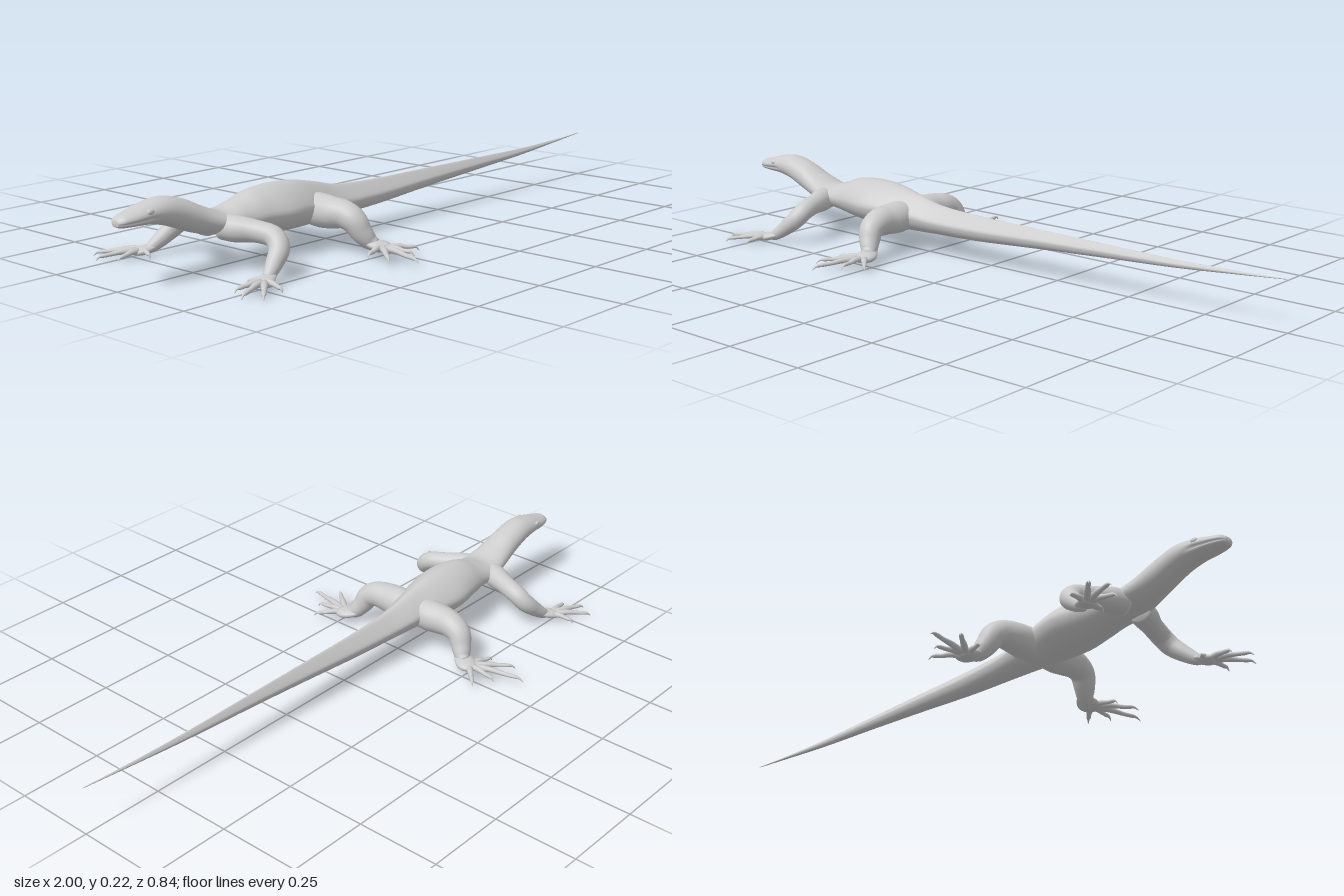
import * as THREE from 'three';

const skin = new THREE.MeshStandardMaterial({ color: 0xcccccc, side: THREE.DoubleSide });

// Smooth interpolation of rows of numbers, t from 0 to 1
function sample(rows, t) {
  const f = t * (rows.length - 1);
  const i = Math.min(Math.floor(f), rows.length - 2);
  const u = f - i;
  const row = (k) => rows[Math.max(0, Math.min(rows.length - 1, k))];
  return rows[0].map((_, c) => {
    const a = row(i - 1)[c], b = row(i)[c], d = row(i + 1)[c], e = row(i + 2)[c];
    const m = (d - a) / 2, n = (e - b) / 2;
    return b + u * (m + u * (3 * (d - b) - 2 * m - n + u * (2 * (b - d) + m + n)));
  });
}

// Skin over closed rings of equal point count
function loft(rings, name) {
  const n = rings[0].length, index = [];
  for (let i = 0; i < rings.length - 1; i++) {
    for (let j = 0; j < n; j++) {
      const a = i * n + j, b = i * n + (j + 1) % n;
      index.push(a, b, a + n, b, b + n, a + n);
    }
  }
  const geo = new THREE.BufferGeometry().setFromPoints(rings.flat());
  geo.setIndex(index);
  geo.computeVertexNormals();
  const mesh = new THREE.Mesh(geo, skin);
  mesh.name = name;
  return mesh;
}

// Tapered round limb through rows of [x, y, z, radius]
function limb(rows, name, up, steps, sides, flat = 1) {
  const rings = [];
  for (let i = 0; i <= steps; i++) {
    const t = i / steps;
    const [x, y, z, rad] = sample(rows, t);
    const r = i === 0 || i === steps ? 0 : Math.max(rad, 0.0008);
    const p = sample(rows, Math.max(0, t - 0.01)), q = sample(rows, Math.min(1, t + 0.01));
    const T = new THREE.Vector3(q[0] - p[0], q[1] - p[1], q[2] - p[2]).normalize();
    const N = up.clone().addScaledVector(T, -up.dot(T)).normalize();
    const B = T.clone().cross(N);
    rings.push(Array.from({ length: sides }, (_, j) => {
      const a = j / sides * Math.PI * 2;
      return new THREE.Vector3(x, y, z)
        .addScaledVector(N, r * flat * Math.cos(a)).addScaledVector(B, r * Math.sin(a));
    }));
  }
  return loft(rings, name);
}

// Head, trunk and tail: [x, top, bottom, half width, ridge]
const BODY = [
  [-1.0, 0.186, 0.170, 0.012, 0], [-0.985, 0.198, 0.165, 0.027, 0],
  [-0.95, 0.207, 0.163, 0.037, 0], [-0.90, 0.220, 0.160, 0.042, 0],
  [-0.845, 0.225, 0.148, 0.046, 0], [-0.78, 0.208, 0.122, 0.050, 0],
  [-0.72, 0.180, 0.103, 0.058, 0], [-0.66, 0.160, 0.092, 0.069, 0],
  [-0.60, 0.174, 0.081, 0.067, 0.1], [-0.54, 0.194, 0.071, 0.078, 0.2],
  [-0.46, 0.200, 0.064, 0.091, 0.3], [-0.38, 0.195, 0.062, 0.080, 0.4],
  [-0.30, 0.179, 0.063, 0.061, 0.5], [-0.20, 0.156, 0.066, 0.047, 0.6],
  [-0.04, 0.147, 0.071, 0.036, 0.65], [0.18, 0.144, 0.086, 0.025, 0.65],
  [0.40, 0.141, 0.100, 0.016, 0.6], [0.65, 0.138, 0.115, 0.009, 0.5],
  [0.87, 0.142, 0.134, 0.004, 0.3], [1.0, 0.148, 0.146, 0.001, 0],
];

function body() {
  const rings = [], steps = 150, sides = 48;
  for (let i = 0; i <= steps; i++) {
    const [x, top, bottom, w, ridge] = sample(BODY, i / steps);
    const end = i === 0 || i === steps ? 0 : 1;
    const mid = (top + bottom) / 2, h = (top - bottom) / 2 * end;
    // shallow mouth crease that fades out behind the jaw
    const mouth = 0.12 * THREE.MathUtils.clamp((-0.88 - x) / 0.03, 0, 1);
    rings.push(Array.from({ length: sides }, (_, j) => {
      const a = j / sides * Math.PI * 2;
      const c = Math.cos(a), s = Math.sin(a);
      const crease = 1 - mouth * Math.exp(-(((c + 0.26) / 0.12) ** 2));
      const z = w * end * s * (1 - ridge * Math.max(0, c)) * crease;
      return new THREE.Vector3(x, mid + h * c, z);
    }));
  }
  return loft(rings, 'body');
}

// Each leg runs from inside the trunk to the palm; toes list [tip x, tip z]
const LEGS = [
  {
    name: 'frontLeg',
    rows: [[-0.67, 0.118, 0.02, 0.034], [-0.655, 0.116, 0.07, 0.036], [-0.635, 0.114, 0.12, 0.030],
      [-0.622, 0.105, 0.172, 0.029], [-0.632, 0.080, 0.202, 0.028], [-0.665, 0.050, 0.217, 0.023],
      [-0.695, 0.027, 0.228, 0.017], [-0.71, 0.020, 0.233, 0.012]],
    palm: [[-0.678, 0.030, 0.223, 0.012], [-0.70, 0.024, 0.231, 0.022], [-0.725, 0.018, 0.240, 0.027],
      [-0.745, 0.016, 0.246, 0.018]],
    base: [-0.722, 0.018, 0.240], tipY: 0.008,
    toes: [[-0.735, 0.19], [-0.815, 0.228], [-0.845, 0.285], [-0.815, 0.333], [-0.735, 0.318]],
  },
  {
    name: 'hindLeg',
    rows: [[-0.33, 0.112, 0.01, 0.045], [-0.33, 0.110, 0.06, 0.048], [-0.332, 0.110, 0.105, 0.045],
      [-0.327, 0.110, 0.145, 0.040], [-0.322, 0.095, 0.178, 0.036], [-0.312, 0.065, 0.196, 0.031],
      [-0.298, 0.040, 0.213, 0.024], [-0.287, 0.030, 0.232, 0.015]],
    palm: [[-0.308, 0.040, 0.195, 0.016], [-0.295, 0.033, 0.218, 0.028], [-0.285, 0.028, 0.245, 0.034],
      [-0.285, 0.026, 0.272, 0.020]],
    base: [-0.286, 0.027, 0.246], tipY: 0.019,
    toes: [[-0.37, 0.272], [-0.378, 0.355], [-0.33, 0.418], [-0.272, 0.352], [-0.212, 0.318]],
  },
];

function leg(spec, side) {
  const group = new THREE.Group();
  group.name = (side > 0 ? 'left ' : 'right ') + spec.name;
  const X = new THREE.Vector3(1, 0, 0), Y = new THREE.Vector3(0, 1, 0);
  const flip = (rows) => rows.map(([x, y, z, r]) => [x, y, z * side, r]);
  group.add(limb(flip(spec.rows), 'limb', X, 36, 20));
  group.add(limb(flip(spec.palm), 'palm', Y, 14, 16, 0.45));
  const [bx, by, bz] = spec.base;
  for (const [tx, tz] of spec.toes) {
    // finger with a knuckle arch and a hooked claw
    const at = (t, y, r) => [bx + (tx - bx) * t, y, bz + (tz - bz) * t, r];
    const rows = [at(0.05, by, 0.011), at(0.4, by + 0.003, 0.0095), at(0.65, by, 0.007),
      at(0.82, spec.tipY + 0.008, 0.0065), at(0.92, spec.tipY + 0.006, 0.0035), at(1, spec.tipY - 0.004, 0.0008)];
    group.add(limb(flip(rows), 'toe', Y, 16, 10, 0.85));
  }
  return group;
}

export function createModel() {
  const model = new THREE.Group();
  model.name = 'lizard';
  model.add(body());
  for (const side of [1, -1]) {
    for (const spec of LEGS) model.add(leg(spec, side));
    const eye = new THREE.Mesh(new THREE.SphereGeometry(0.009, 16, 12), skin);
    eye.name = side > 0 ? 'left eye' : 'right eye';
    eye.scale.set(1.3, 0.9, 0.7);
    eye.position.set(-0.915, 0.199, side * 0.036);
    model.add(eye);
  }
  return model;
}
